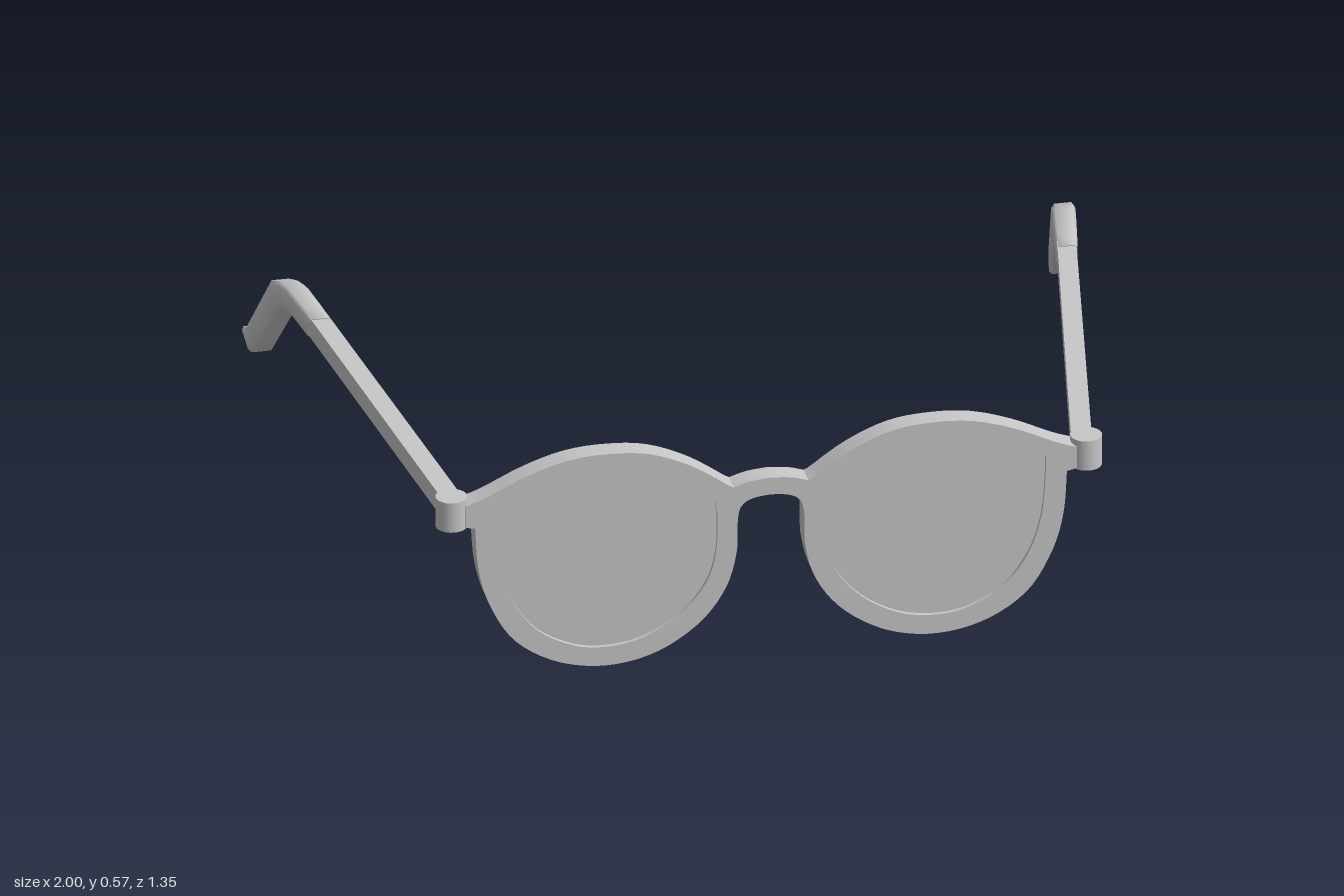
import * as THREE from 'three';
import { toCreasedNormals } from 'three/addons/utils/BufferGeometryUtils.js';

const grey = new THREE.MeshStandardMaterial({ color: 0xc6c6c6 });
grey.name = 'grey';

// Smooth a short list of [x, y] points into a curve
function smooth(points, divisions) {
  return new THREE.SplineCurve(points.map(([x, y]) => new THREE.Vector2(x, y))).getPoints(divisions);
}
const mirrored = (points) => points.map((p) => new THREE.Vector2(-p.x, p.y)).reverse();

function plate(shape, zBack, depth, name) {
  const geo = new THREE.ExtrudeGeometry(shape, { depth, bevelEnabled: false });
  geo.translate(0, 0, zBack);
  const mesh = new THREE.Mesh(toCreasedNormals(geo, 0.6), grey);
  mesh.name = name;
  return mesh;
}

// Loft through slanted sections [zTop, yTop, zBottom, yBottom, halfWidth], splayed outward.
// c is the corner cut, side is 1 for left and -1 for right
function loft(sections, c, side, name) {
  const profile = c > 0
    ? [[-1 + c, 0], [1 - c, 0], [1, c / 2], [1, 1 - c / 2], [1 - c, 1], [-1 + c, 1], [-1, 1 - c / 2], [-1, c / 2]]
    : [[-1, 0], [1, 0], [1, 1], [-1, 1]];
  const n = profile.length, pos = [], idx = [];
  for (const [zt, yt, zb, yb, hw] of sections) {
    for (const [u, v] of profile) {
      const z = zb + (zt - zb) * v;
      pos.push(side * (0.764 + 0.168 * (0.6 - z)) + u * hw, yb + (yt - yb) * v, z);
    }
  }
  const last = (sections.length - 1) * n;
  for (let s = 0; s < last; s += n) {
    for (let i = 0; i < n; i++) {
      const j = (i + 1) % n;
      idx.push(s + i, s + n + j, s + j, s + i, s + n + i, s + n + j);
    }
  }
  for (let i = 1; i < n - 1; i++) {
    idx.push(0, i, i + 1, last, last + i + 1, last + i);
  }
  const geo = new THREE.BufferGeometry();
  geo.setAttribute('position', new THREE.Float32BufferAttribute(pos, 3));
  geo.setIndex(idx);
  const mesh = new THREE.Mesh(toCreasedNormals(geo, 0.9), grey);
  mesh.name = name;
  return mesh;
}

export function createModel() {
  const model = new THREE.Group();
  model.name = 'eyeglasses';

  // Outline of one half of the front, from bridge top around the rim to bridge underside
  const half = [
    ...smooth([[0, 0.46], [0.05, 0.455], [0.09, 0.443]], 6),
    ...smooth([[0.1, 0.448], [0.19, 0.51], [0.29, 0.553], [0.39, 0.565], [0.49, 0.558], [0.59, 0.527], [0.69, 0.48], [0.74, 0.462]], 28),
    new THREE.Vector2(0.74, 0.405),
    ...smooth([[0.716, 0.4], [0.708, 0.29], [0.68, 0.19], [0.62, 0.09], [0.52, 0.024], [0.4, 0], [0.28, 0.022],
      [0.175, 0.088], [0.11, 0.175], [0.083, 0.27], [0.08, 0.36], [0.068, 0.395], [0.04, 0.41], [0, 0.415]], 60),
  ];
  // Counter-clockwise, so that the walls of the openings face inward
  const front = new THREE.Shape([...half, ...mirrored(half).slice(1, -1)].reverse());

  // Lens opening with pointed upper corners
  const opening = [
    ...smooth([[0.135, 0.41], [0.19, 0.462], [0.28, 0.51], [0.39, 0.525], [0.5, 0.514], [0.59, 0.486], [0.665, 0.446]], 24),
    ...smooth([[0.665, 0.4], [0.655, 0.29], [0.625, 0.195], [0.565, 0.112], [0.48, 0.063], [0.4, 0.05], [0.31, 0.065],
      [0.22, 0.118], [0.157, 0.195], [0.132, 0.28], [0.13, 0.38]], 40),
  ];
  for (const outline of [opening, mirrored(opening)]) front.holes.push(new THREE.Path(outline));
  model.add(plate(front, 0.61, 0.054, 'frontFrame'));

  // Lenses, set just inside the rim faces
  model.add(plate(new THREE.Shape(opening), 0.624, 0.03, 'leftLens'));
  model.add(plate(new THREE.Shape(mirrored(opening)), 0.624, 0.03, 'rightLens'));

  // Hinges and arms
  const armSections = [[0.62, 0.463, 0.62, 0.412, 0.025], [-0.25, 0.524, -0.25, 0.473, 0.023]];
  const tipSections = [
    [-0.225, 0.524, -0.25, 0.466, 0.026], [-0.29, 0.528, -0.3, 0.469, 0.027], [-0.385, 0.531, -0.35, 0.473, 0.028],
    [-0.43, 0.522, -0.405, 0.463, 0.028], [-0.487, 0.499, -0.45, 0.432, 0.028],
    [-0.565, 0.399, -0.525, 0.341, 0.028], [-0.65, 0.29, -0.6, 0.25, 0.028], [-0.675, 0.282, -0.625, 0.238, 0.024],
  ];
  for (const side of [1, -1]) {
    const label = side > 0 ? 'left' : 'right';
    const hinge = new THREE.Mesh(new THREE.CylinderGeometry(0.038, 0.038, 0.078, 24), grey);
    hinge.position.set(side * 0.768, 0.44, 0.637);
    hinge.name = label + 'Hinge';
    model.add(hinge);
    model.add(loft(armSections, 0, side, label + 'Arm'));
    model.add(loft(tipSections, 0.25, side, label + 'EarTip'));
  }
  return model;
}
